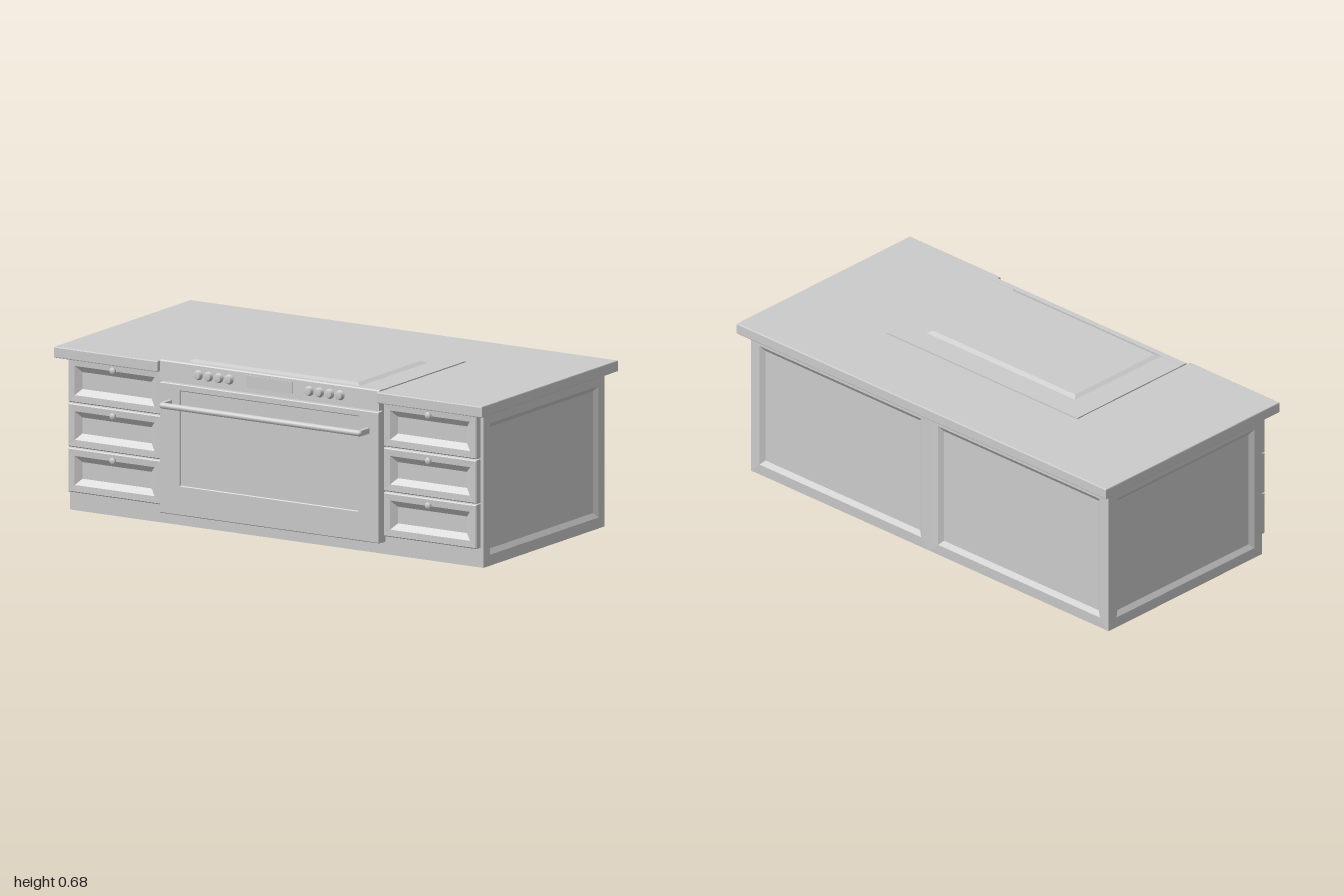
import * as THREE from 'three';

const grey = new THREE.MeshStandardMaterial({ color: 0xcccccc });

function add(parent, name, geometry, x = 0, y = 0, z = 0) {
  const mesh = new THREE.Mesh(geometry, grey);
  mesh.name = name;
  mesh.position.set(x, y, z);
  parent.add(mesh);
  return mesh;
}

// Box given by its min and max corners
function box(parent, name, x0, x1, y0, y1, z0, z1) {
  return add(parent, name, new THREE.BoxGeometry(x1 - x0, y1 - y0, z1 - z0),
    (x0 + x1) / 2, (y0 + y1) / 2, (z0 + z1) / 2);
}

// Rectangular panel facing +z: nested rings of [inset, z], the last ring is capped
function panelGeometry(w, h, rings) {
  const pos = [];
  const loops = rings.map(([i, z]) => {
    const a = w / 2 - i, b = h / 2 - i;
    return [[-a, -b, z], [a, -b, z], [a, b, z], [-a, b, z]];
  });
  const quad = (a, b, c, d) => pos.push(...a, ...b, ...c, ...a, ...c, ...d);
  for (let r = 0; r + 1 < loops.length; r++) {
    for (let k = 0; k < 4; k++) {
      const n = (k + 1) % 4;
      quad(loops[r][k], loops[r][n], loops[r + 1][n], loops[r + 1][k]);
    }
  }
  quad(...loops[loops.length - 1]);
  const g = new THREE.BufferGeometry();
  g.setAttribute('position', new THREE.Float32BufferAttribute(pos, 3));
  g.computeVertexNormals();
  return g;
}

// Turned knob pointing along +z, profile as [radius, height]
function knobGeometry(profile) {
  return new THREE.LatheGeometry(profile.map(p => new THREE.Vector2(...p)), 20).rotateX(Math.PI / 2);
}

function buildCabinet() {
  const g = new THREE.Group();
  g.name = 'cabinet';
  box(g, 'carcass', -0.95, 0.95, 0, 0.62, -0.46, 0.4);
  box(g, 'frontFrame', -0.966, 0.966, 0, 0.62, 0.385, 0.4);

  // Framed panels on the sides and the back
  const rings = [[0, 0], [0, 0.016], [0.045, 0.018], [0.065, 0.004]];
  for (const s of [-1, 1]) {
    const side = add(g, s > 0 ? 'leftSidePanel' : 'rightSidePanel',
      panelGeometry(0.88, 0.62, rings), s * 0.95, 0.31, -0.04);
    side.rotation.y = s * Math.PI / 2;
    const back = add(g, s > 0 ? 'leftBackPanel' : 'rightBackPanel',
      panelGeometry(0.966, 0.62, rings), s * 0.483, 0.31, -0.462);
    back.rotation.y = Math.PI;
  }
  return g;
}

function buildDrawers() {
  const g = new THREE.Group();
  g.name = 'drawers';
  const knob = knobGeometry([[0.007, 0], [0.007, 0.008], [0.013, 0.011], [0.014, 0.016], [0.01, 0.021], [0, 0.022]]);
  for (const s of [-1, 1]) {
    for (const [y0, y1] of [[0.08, 0.257], [0.262, 0.437], [0.442, 0.62]]) {
      const front = panelGeometry(0.433, y1 - y0,
        [[0, 0], [0, 0.031], [0.004, 0.035], [0.03, 0.034], [0.055, 0.016]]);
      add(g, 'drawerFront', front, s * 0.737, (y0 + y1) / 2, 0.398);
      add(g, 'drawerKnob', knob, s * 0.737, y1 - 0.025, 0.432);
    }
  }
  return g;
}

function buildCountertop() {
  // U-shaped slab with a cutout for the range; shape y is -z
  const s = new THREE.Shape();
  [[-1, -0.465], [-0.515, -0.465], [-0.515, 0.18], [0.51, 0.18], [0.51, -0.465],
    [1, -0.465], [1, 0.528], [-1, 0.528]].forEach(([x, y], i) => (i ? s.lineTo(x, y) : s.moveTo(x, y)));
  const geo = new THREE.ExtrudeGeometry(s, {
    depth: 0.037, bevelThickness: 0.004, bevelSize: 0.004, bevelOffset: -0.004, bevelSegments: 2,
  }).rotateX(-Math.PI / 2);
  const mesh = new THREE.Mesh(geo, grey);
  mesh.name = 'countertop';
  mesh.position.y = 0.624;
  return mesh;
}

function buildRange() {
  const g = new THREE.Group();
  g.name = 'range';
  const cx = -0.0025;
  box(g, 'rangeBody', -0.513, 0.508, 0.05, 0.62, 0.36, 0.425);
  box(g, 'cooktop', -0.515, 0.51, 0.615, 0.668, -0.18, 0.43);

  // Raised glass on the cooktop
  const glass = add(g, 'cooktopGlass', panelGeometry(0.805, 0.495, [[0, 0], [0.02, 0.009]]), cx, 0.668, 0.172);
  glass.rotation.x = -Math.PI / 2;

  // Slightly sloping control panel, drawn as a side section
  const s = new THREE.Shape();
  s.moveTo(-0.42, 0.586);
  s.lineTo(-0.42, 0.669);
  s.lineTo(-0.444, 0.669);
  s.lineTo(-0.447, 0.664);
  s.lineTo(-0.451, 0.586);
  const panel = new THREE.ExtrudeGeometry(s, { depth: 1.025, bevelEnabled: false }).rotateY(Math.PI / 2);
  add(g, 'controlPanel', panel, -0.515);
  box(g, 'display', -0.11, 0.105, 0.605, 0.655, 0.44, 0.4515);

  // Burner knobs
  const knob = knobGeometry([[0.02, 0], [0.02, 0.004], [0.016, 0.005], [0.015, 0.015], [0.013, 0.017], [0, 0.017]]);
  for (const s of [-1, 1]) {
    for (let i = 0; i < 4; i++) add(g, 'burnerKnob', knob, cx + s * (0.187 + i * 0.048), 0.628, 0.448);
  }

  // Oven door as a frame with a window opening
  const door = new THREE.Shape();
  door.moveTo(-0.515, 0.052);
  door.lineTo(0.51, 0.052);
  door.lineTo(0.51, 0.58);
  door.lineTo(-0.515, 0.58);
  const hole = new THREE.Path();
  hole.moveTo(-0.418, 0.172);
  hole.lineTo(-0.418, 0.553);
  hole.lineTo(0.413, 0.553);
  hole.lineTo(0.413, 0.172);
  door.holes.push(hole);
  add(g, 'ovenDoor', new THREE.ExtrudeGeometry(door, {
    depth: 0.026, bevelThickness: 0.003, bevelSize: 0.003, bevelOffset: -0.003, bevelSegments: 1,
  }), 0, 0, 0.422);
  box(g, 'ovenWindow', -0.418, 0.413, 0.172, 0.553, 0.42, 0.446);

  // Door handle with two brackets
  const bar = new THREE.CapsuleGeometry(0.0125, 0.92, 4, 12).rotateZ(Math.PI / 2);
  add(g, 'doorHandle', bar, cx, 0.502, 0.512);
  for (const s of [-1, 1]) {
    const x = cx + s * 0.462;
    box(g, 'handleBracket', x - 0.008, x + 0.008, 0.491, 0.513, 0.44, 0.512);
  }
  return g;
}

export function createModel() {
  const model = new THREE.Group();
  model.name = 'kitchenIsland';
  model.add(buildCabinet(), buildDrawers(), buildCountertop(), buildRange());
  return model;
}
